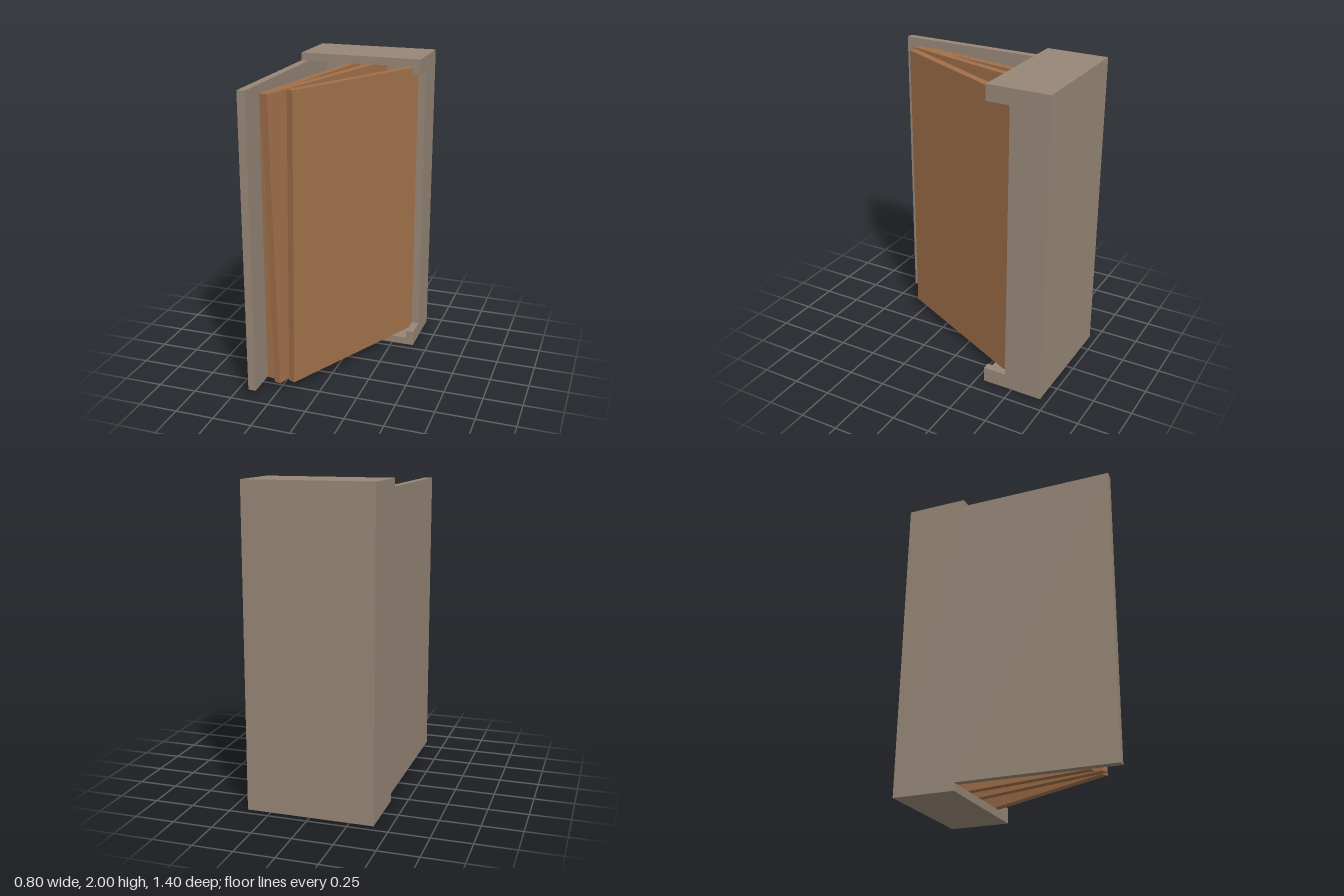
import * as THREE from 'three';

export function createModel() {
  const model = new THREE.Group();
  model.name = 'openCase';
  const casing = new THREE.MeshStandardMaterial({ color: 0x968676 });
  casing.name = 'greyCasing';
  const wood = new THREE.MeshStandardMaterial({ color: 0xa0704a });
  wood.name = 'brownWood';

  const add = (name, geometry, material, parent = model) => {
    const mesh = new THREE.Mesh(geometry, material);
    mesh.name = name;
    parent.add(mesh);
    return mesh;
  };
  // Box given by its lowest and highest corner
  const box = (name, a, b, parent) => {
    const g = new THREE.BoxGeometry(b[0] - a[0], b[1] - a[1], b[2] - a[2]);
    g.translate((a[0] + b[0]) / 2, (a[1] + b[1]) / 2, (a[2] + b[2]) / 2);
    return add(name, g, casing, parent);
  };

  // Hollow case, open at the front
  const shell = new THREE.Group();
  shell.name = 'case';
  model.add(shell);
  box('backPanel', [-0.35, 0.05, -0.7], [0.35, 1.95, -0.65], shell);
  box('topPanel', [-0.35, 1.95, -0.7], [0.35, 2, -0.3], shell);
  box('bottomPanel', [-0.35, 0, -0.7], [0.35, 0.05, -0.3], shell);
  box('rightWall', [-0.4, 0, -0.7], [-0.35, 2, -0.3], shell);

  // Left wall with a tall notch cut into its front edge; shape x is -z
  const profile = new THREE.Shape([
    [0.7, 0], [0.7, 2], [0.3, 2], [0.3, 1.9], [0.45, 1.9],
    [0.45, 0.1], [0.3, 0.1], [0.3, 0],
  ].map(([x, y]) => new THREE.Vector2(x, y)));
  const wall = new THREE.ExtrudeGeometry(profile, { depth: 0.05, bevelEnabled: false });
  wall.rotateY(Math.PI / 2);
  wall.translate(0.35, 0, 0);
  add('leftWall', wall, casing, shell);

  // Opened side door
  box('openDoor', [-0.4, 0.05, -0.3], [-0.35, 1.95, 0.7]);

  // Fanned wooden boards, placed by the centre of their lower front edge
  const boards = [
    { at: [-0.325, 0.05, 0.517], height: 1.85, length: 1.17, yaw: -0.167, pitch: 0, roll: 0 },
    { at: [-0.257, 0.055, 0.568], height: 1.86, length: 1.22, yaw: -0.308, pitch: 0.015, roll: 0.011 },
    { at: [-0.172, 0.065, 0.54], height: 1.87, length: 1.17, yaw: -0.445, pitch: -0.012 / 1.2, roll: -0.008 },
  ];
  boards.forEach(({ at, height, length, yaw, pitch, roll }, i) => {
    const g = new THREE.BoxGeometry(0.047, height, length);
    g.translate(0, height / 2, -length / 2);
    const board = add(`woodenBoard${i + 1}`, g, wood);
    board.rotation.set(pitch, yaw, roll, 'YXZ');
    board.position.set(...at);
  });

  return model;
}
